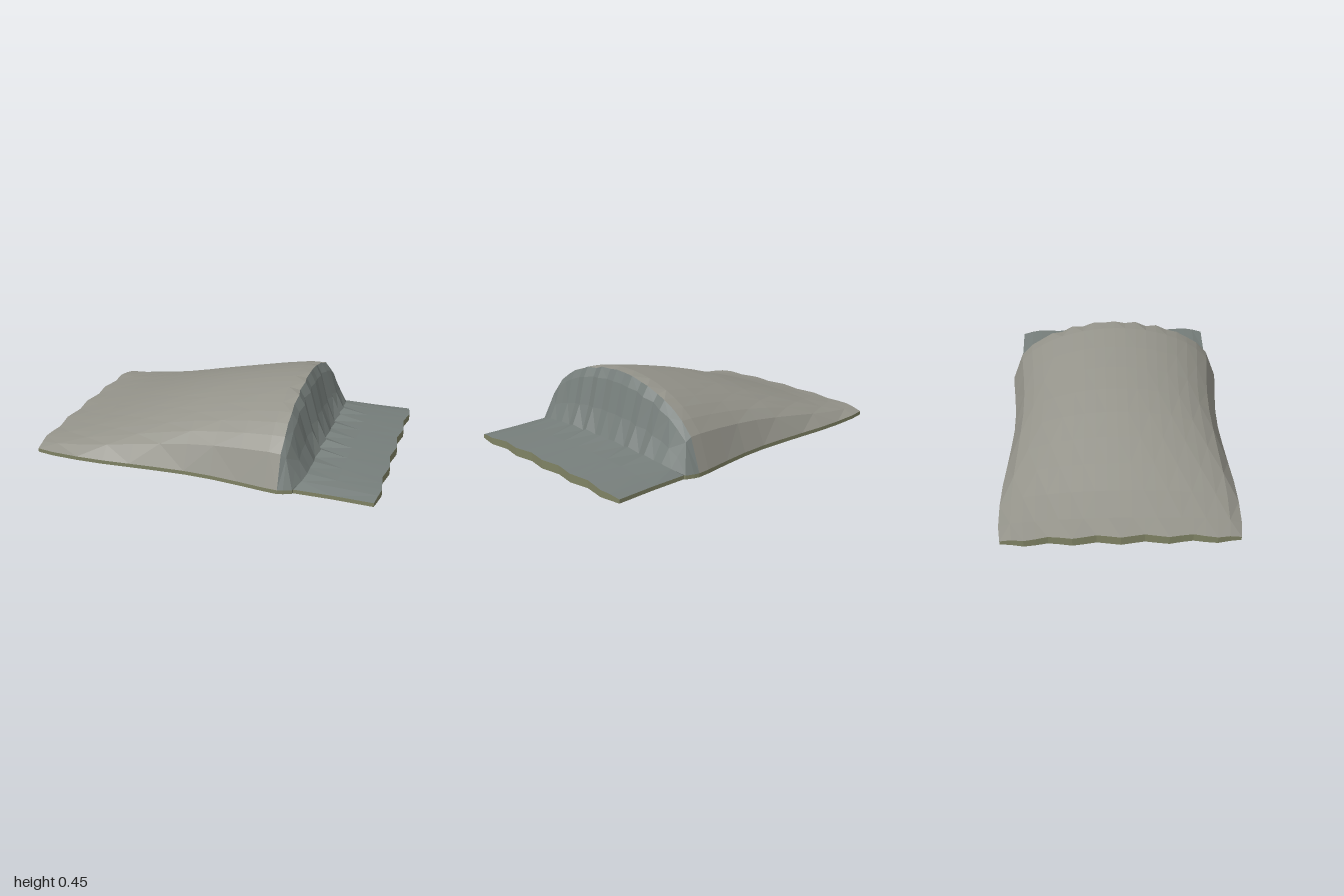
import * as THREE from 'three';

const STRIPS = 20;   // strips across the width
const BASE = 0.022;  // height of the side rim

// each station: x, crown height, half width
const windStations = [
  [-1, 0.055, 0.64], [-0.88, 0.08, 0.655], [-0.72, 0.125, 0.66], [-0.56, 0.18, 0.655],
  [-0.4, 0.235, 0.642], [-0.24, 0.288, 0.63], [-0.08, 0.335, 0.621], [0.08, 0.375, 0.624],
  [0.24, 0.412, 0.638], [0.4, 0.442, 0.656], [0.47, 0.446, 0.66],
];
const leeStations = [
  [0.47, 0.446, 0.66], [0.5, 0.385, 0.652], [0.545, 0.215, 0.633],
  [0.598, 0.083, 0.624], [0.76, 0.064, 0.62], [0.99, 0.05, 0.625],
];

// rounded section over the width, with ripples at the ends, crest and foot
function surfacePoint([x, h, w], j) {
  const t = (2 * j) / STRIPS - 1;
  const z = t * w;
  const round = Math.sqrt(Math.max(0, 1 - t * t));
  let y = BASE + (h - BASE) * round;
  const ripple = (Math.cos(j * Math.PI) * 0.6 + Math.sin(j * 2.3) * 0.4) * round;
  if (Math.abs(x) > 0.98) {
    x = Math.sign(x) * (0.99 + 0.01 * Math.cos(z * 25));
  } else if (x > 0.58 && x < 0.65) { // foot
    x += 0.014 * ripple - 0.05 * (1 - round) ** 2;
    y += 0.014 * ripple;
  } else if (x > 0.49 && x < 0.58) { // steep face
    x += 0.011 * ripple;
  } else if (x > 0.46 && x < 0.49) { // crest
    x += 0.007 * ripple;
    y += 0.014 * Math.min(0, ripple);
  }
  return [x, y, z];
}

// skin over rows of points
function skin(rows, name, color) {
  const cols = rows[0].length;
  const index = [];
  for (let i = 0; i < rows.length - 1; i++) {
    for (let j = 0; j < cols - 1; j++) {
      const a = i * cols + j, b = a + 1, c = a + cols, d = c + 1;
      if ((i + j) % 2) index.push(a, b, c, b, d, c);
      else index.push(a, b, d, a, d, c);
    }
  }
  const geometry = new THREE.BufferGeometry();
  geometry.setAttribute('position', new THREE.Float32BufferAttribute(rows.flat(2), 3));
  geometry.setIndex(index);
  geometry.computeVertexNormals();
  const material = new THREE.MeshStandardMaterial({ color, flatShading: true });
  const mesh = new THREE.Mesh(geometry, material);
  mesh.name = name;
  return mesh;
}

export function createModel() {
  const group = new THREE.Group();
  group.name = 'dune';
  const makeRow = (s) => Array.from({ length: STRIPS + 1 }, (_, j) => surfacePoint(s, j));
  const wind = windStations.map(makeRow);
  const lee = leeStations.map(makeRow);

  // long gentle slope, then steep face with its flat apron
  group.add(skin(wind, 'windwardSlope', 0x94938a));
  group.add(skin(lee, 'slipFaceAndApron', 0x767e7b));

  // thin rim around the outline, facing outward
  const all = [...wind, ...lee.slice(1)];
  const outline = [
    ...all[0],
    ...all.slice(1).map((r) => r[STRIPS]),
    ...all[all.length - 1].slice(0, -1).reverse(),
    ...all.slice(0, -1).reverse().map((r) => r[0]),
  ];
  const ground = ([x, , z]) => [x, 0, z];
  group.add(skin([outline.map(ground), outline], 'rim', 0x7f8264));

  // flat underside, rows reversed so it faces down
  group.add(skin(all.map((r) => r.map(ground)).reverse(), 'underside', 0x7f8264));
  return group;
}
